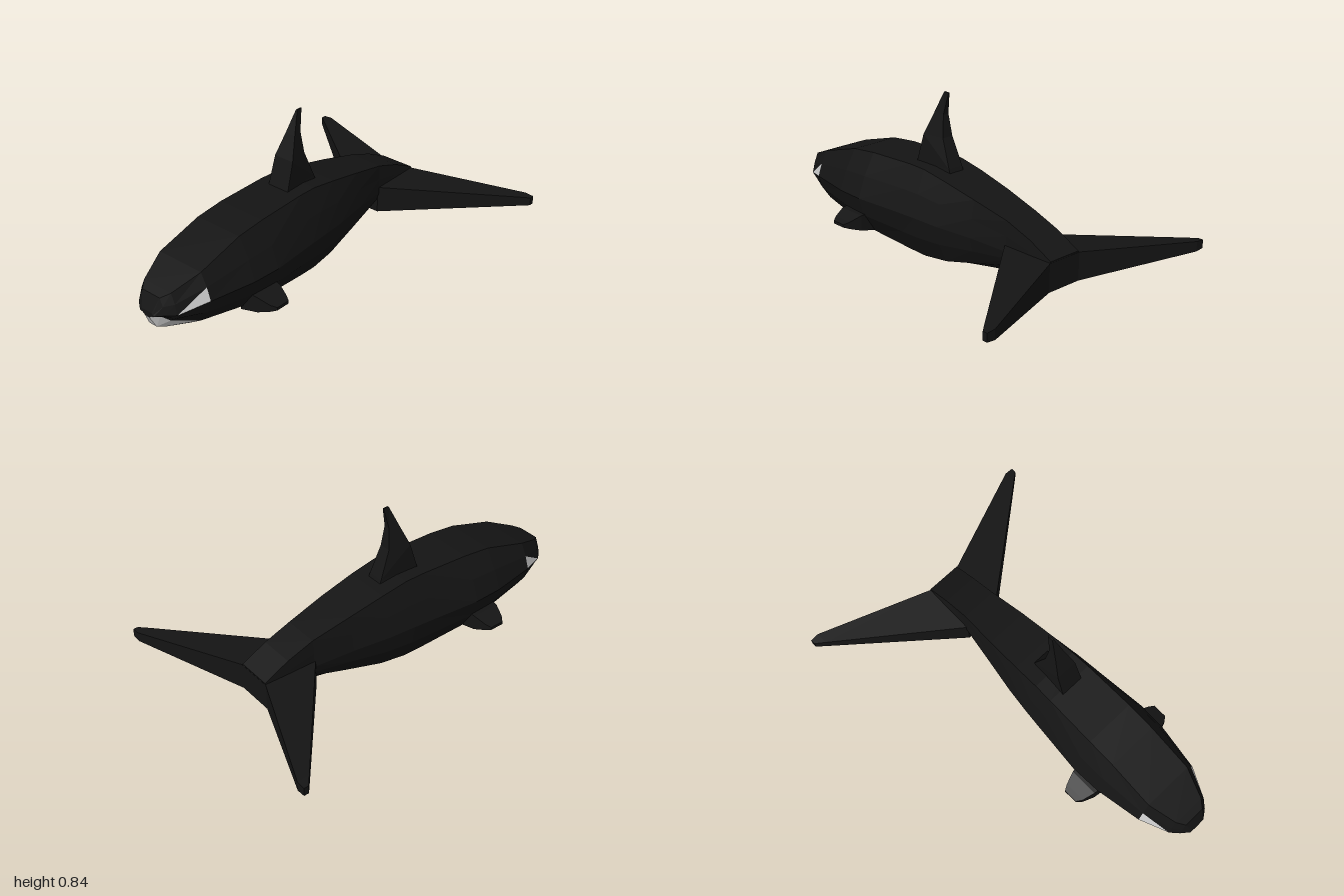
import * as THREE from 'three';

const black = new THREE.MeshStandardMaterial({ color: 0x141414, flatShading: true });
const pale = new THREE.MeshStandardMaterial({ color: 0xcccccc, flatShading: true });

function makeMesh(name, triangles, material) {
  const geometry = new THREE.BufferGeometry();
  geometry.setAttribute('position', new THREE.Float32BufferAttribute(triangles.flat(2), 3));
  geometry.computeVertexNormals();
  const mesh = new THREE.Mesh(geometry, material);
  mesh.name = name;
  return mesh;
}

// Skins rings that run counter-clockwise about the direction of travel.
// emit(triangle, station, band, half) receives every triangle.
function loft(rings, emit) {
  const n = rings[0].length;
  for (let i = 0; i < rings.length - 1; i++) {
    for (let j = 0; j < n; j++) {
      const k = (j + 1) % n;
      const a = rings[i][j], b = rings[i][k], c = rings[i + 1][j], d = rings[i + 1][k];
      // the far half splits the other way, so both sides mirror
      const pair = j < n / 2 ? [[a, b, c], [b, d, c]] : [[a, b, d], [a, d, c]];
      pair.forEach((t, half) => emit(t, i, j, half));
    }
  }
  const first = rings[0], last = rings[rings.length - 1];
  for (let j = 1; j < n - 1; j++) {
    emit([first[0], first[j + 1], first[j]], -1, -1, 0);
    emit([last[0], last[j], last[j + 1]], -1, -1, 0);
  }
}

function loftMesh(name, rings) {
  const triangles = [];
  loft(rings, (t) => triangles.push(t));
  return makeMesh(name, triangles, black);
}

// Sideways fin from sections [z, x0, x1, y0, y1]; side is +1 or -1
function sideFin(name, sections, side) {
  return loftMesh(name, sections.map(([z, x0, x1, y0, y1]) => {
    const ring = [[x0, y0, z * side], [x1, y0, z * side], [x1, y1, z * side], [x0, y1, z * side]];
    return side > 0 ? ring : ring.reverse();
  }));
}

export function createModel() {
  const model = new THREE.Group();
  model.name = 'whale';
  const lerp = THREE.MathUtils.lerp;

  // Body stations: x, top, bottom, half width, half width of back, height of widest line, belly edge
  const stations = [
    [-1.0, 0.225, 0.195, 0.045, 0.03, 0.212, 0.207],
    [-0.97, 0.30, 0.135, 0.085, 0.055, 0.22, 0.203],
    [-0.93, 0.318, 0.118, 0.12, 0.085, 0.217, 0.17],
    [-0.79, 0.377, 0.075, 0.185, 0.13, 0.25, 0.115],
    [-0.55, 0.45, 0.035, 0.225, 0.13, 0.25, 0.08],
    [-0.4, 0.468, 0.022, 0.23, 0.13, 0.25, 0.06],
    [-0.13, 0.48, 0.01, 0.203, 0.125, 0.25, 0.038],
    [-0.03, 0.477, 0.0, 0.192, 0.122, 0.248, 0.032],
    [0.11, 0.454, 0.03, 0.172, 0.118, 0.24, 0.045],
    [0.3, 0.415, 0.065, 0.137, 0.108, 0.235, 0.09],
    [0.5, 0.368, 0.1, 0.1, 0.092, 0.22, 0.14],
    [0.64, 0.32, 0.115, 0.098, 0.09, 0.215, 0.15],
    [0.77, 0.257, 0.13, 0.095, 0.09, 0.2, 0.16],
  ];
  const rings = stations.map(([x, top, bottom, w, back, wideY, bellyY]) => {
    const half = [
      [x, top, back],
      [x, lerp(wideY, top, 0.5), lerp(w, back, 0.4)],
      [x, wideY, w],
      [x, lerp(wideY, bellyY, 0.5), w * 0.88],
      [x, bellyY, w * 0.62],
      [x, bottom, w * 0.28],
    ];
    return [...half, ...half.map(([px, py, pz]) => [px, py, -pz]).reverse()];
  });

  // Sort the skin into dark body, pale belly and the eye patches
  const body = [], belly = [], patches = [];
  loft(rings, (t, station, band, half) => {
    if (station >= 0 && station < 8 && band >= 4 && band <= 6) belly.push(t);
    else if (station === 2 && (band === 1 || band === 9) && half === 1) patches.push(t);
    else body.push(t);
  });
  model.add(makeMesh('body', body, black), makeMesh('belly', belly, pale), makeMesh('eyePatches', patches, pale));

  // Dorsal fin sections: y, front x, rear x, front half width, rear half width
  const dorsal = [
    [0.42, -0.16, 0.08, 0.06, 0.045],
    [0.48, -0.15, 0.057, 0.06, 0.042],
    [0.62, -0.11, 0.0, 0.055, 0.03],
    [0.73, -0.065, -0.012, 0.028, 0.016],
    [0.84, -0.02, 0.01, 0.004, 0.003],
  ];
  model.add(loftMesh('dorsalFin', dorsal.map(([y, x0, x1, w0, w1]) =>
    [[x0, y, w0], [x1, y, w1], [x1, y, -w1], [x0, y, -w0]])));

  // Tail flukes and flippers, mirrored
  const fluke = [
    [0, 0.49, 0.771, 0.11, 0.25],
    [0.095, 0.49, 0.771, 0.11, 0.25],
    [0.65, 0.938, 1.0, 0.163, 0.213],
    [0.695, 0.975, 1.0, 0.167, 0.209],
  ];
  const flipper = [
    [0.13, -0.55, -0.385, 0.06, 0.17],
    [0.225, -0.54, -0.39, 0.08, 0.16],
    [0.285, -0.52, -0.41, 0.1, 0.135],
    [0.312, -0.5, -0.425, 0.11, 0.125],
  ];
  for (const [label, side] of [['left', 1], ['right', -1]]) {
    model.add(sideFin(label + 'Fluke', fluke, side), sideFin(label + 'Flipper', flipper, side));
  }
  return model;
}
